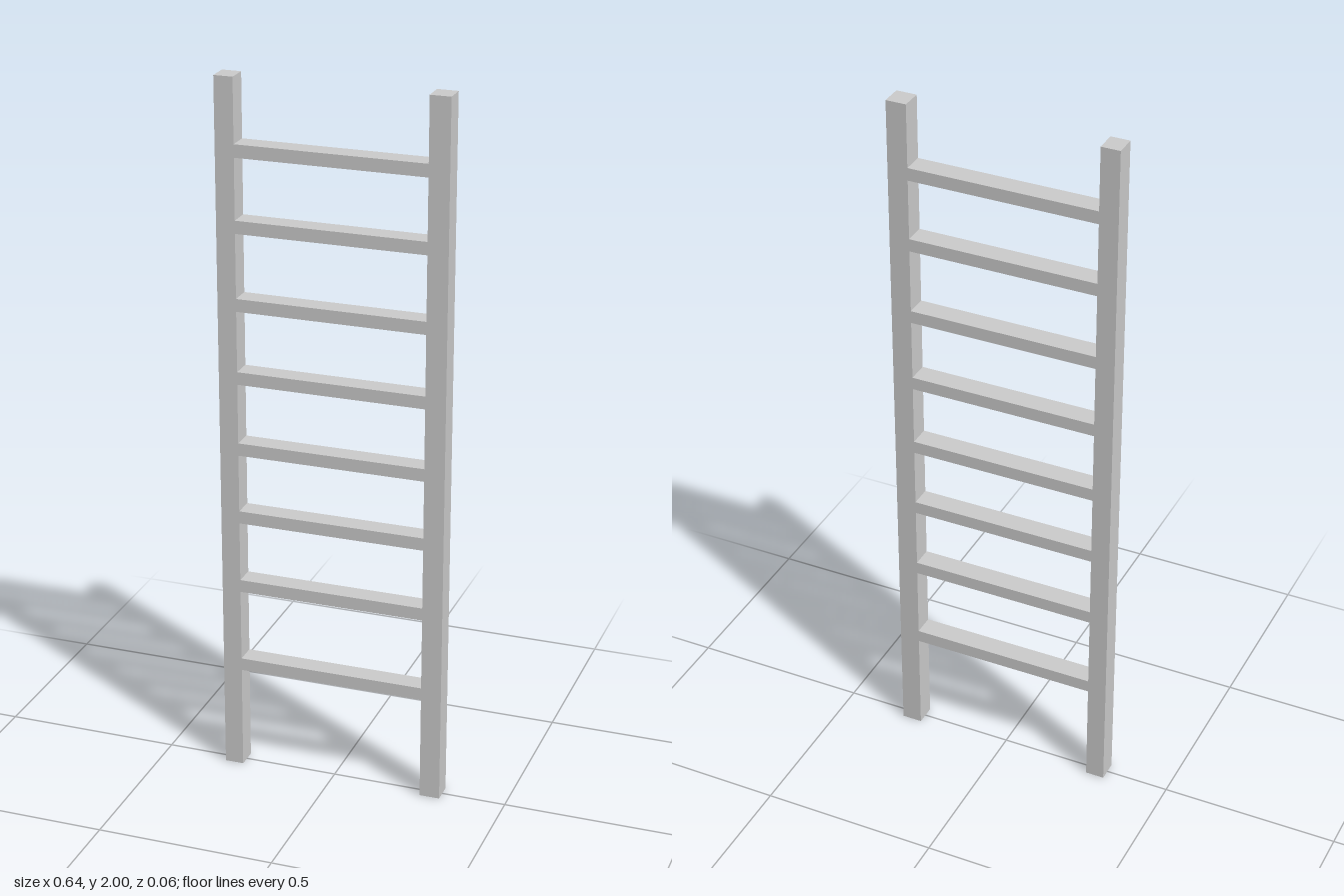
import * as THREE from 'three';

const DEPTH = 0.06;
const INNER_RIGHT = -0.266; // inner face of the rail at -x
const INNER_LEFT = 0.262;   // inner face of the rail at +x
const OUTER = 0.319;

export function createModel() {
  const ladder = new THREE.Group();
  ladder.name = 'ladder';
  const material = new THREE.MeshStandardMaterial({ color: 0xcccccc, flatShading: true });

  // Square-edged bar spanning the given x and y ranges
  const addBar = (name, x0, x1, y0, y1) => {
    const bar = new THREE.Mesh(new THREE.BoxGeometry(x1 - x0, y1 - y0, DEPTH), material);
    bar.name = name;
    bar.position.set((x0 + x1) / 2, (y0 + y1) / 2, 0);
    ladder.add(bar);
  };

  // Upright side rails
  addBar('rightRail', -OUTER, INNER_RIGHT, 0, 2);
  addBar('leftRail', INNER_LEFT, OUTER, 0, 2);

  // Rungs, flush with the rails, slightly uneven in spacing
  const rungHeights = [0.317, 0.56, 0.768, 0.969, 1.175, 1.382, 1.598, 1.804];
  rungHeights.forEach((y, i) => {
    addBar(`rung${i + 1}`, INNER_RIGHT, INNER_LEFT, y - 0.018, y + 0.018);
  });

  return ladder;
}
